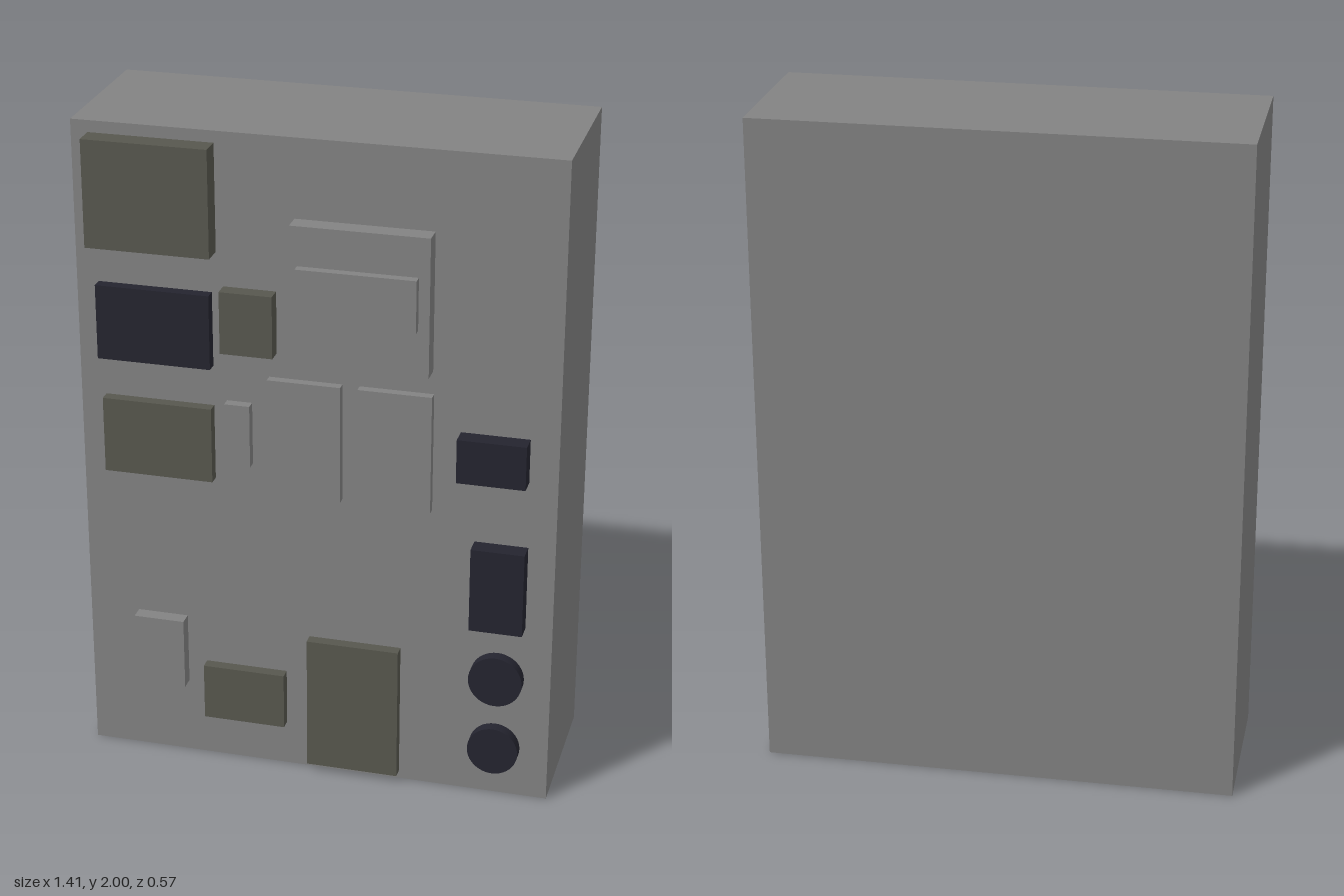
import * as THREE from 'three';

export function createModel() {
  const group = new THREE.Group();
  const material = (name, color) => {
    const m = new THREE.MeshStandardMaterial({ color });
    m.name = name;
    return m;
  };
  const grey = material('cabinet grey', 0x828282);
  const olive = material('olive grey', 0x57574e);
  const navy = material('dark navy', 0x24242f);

  const FRONT = 0.2; // front face of the cabinet

  // Box given by its x, y and z limits
  const block = (name, mat, x0, x1, y0, y1, z1, z0 = FRONT) => {
    const mesh = new THREE.Mesh(new THREE.BoxGeometry(x1 - x0, y1 - y0, z1 - z0), mat);
    mesh.position.set((x0 + x1) / 2, (y0 + y1) / 2, (z0 + z1) / 2);
    mesh.name = name;
    group.add(mesh);
  };

  // Round control facing the front
  const knob = (name, x, y, radius, z1) => {
    const geometry = new THREE.CylinderGeometry(radius, radius, z1 - FRONT, 40);
    geometry.rotateX(Math.PI / 2);
    const mesh = new THREE.Mesh(geometry, navy);
    mesh.position.set(x, y, (FRONT + z1) / 2);
    mesh.name = name;
    group.add(mesh);
  };

  // Cabinet
  block('cabinet', grey, -0.707, 0.707, 0, 2, FRONT, -0.284);

  // Right-hand column of modules
  block('upperModule', olive, -0.657, -0.29, 1.645, 1.965, 0.264);
  block('displayScreen', navy, -0.642, -0.304, 1.296, 1.522, 0.234);
  block('smallModule', olive, -0.27, -0.115, 1.355, 1.543, 0.246);
  block('middleModule', olive, -0.632, -0.304, 0.94, 1.172, 0.234);
  block('narrowSwitch', grey, -0.265, -0.19, 1.0, 1.192, 0.23);

  // Stepped panel and the two plates beneath it
  block('raisedPanel', grey, -0.06, 0.34, 1.35, 1.765, 0.257);
  block('panelInset', grey, -0.038, 0.308, 1.492, 1.648, 0.284, 0.257);
  for (const [name, x] of [['rightPlate', -0.138], ['leftPlate', 0.128]]) {
    block(name, grey, x, x + 0.216, 0.918, 1.28, 0.227);
  }

  // Left-hand column of dark controls
  block('upperSocket', navy, 0.423, 0.623, 1.038, 1.172, 0.255);
  block('lowerSocket', navy, 0.47, 0.627, 0.57, 0.832, 0.255);
  knob('upperKnob', 0.548, 0.396, 0.08, 0.235);
  knob('lowerKnob', 0.546, 0.16, 0.076, 0.235);

  // Lower modules
  block('lowerPlate', grey, -0.556, -0.402, 0.243, 0.467, 0.243);
  block('lowerModule', olive, -0.344, -0.094, 0.143, 0.32, 0.234);
  block('tallModule', olive, -0.022, 0.256, 0.026, 0.45, 0.234);

  return group;
}
